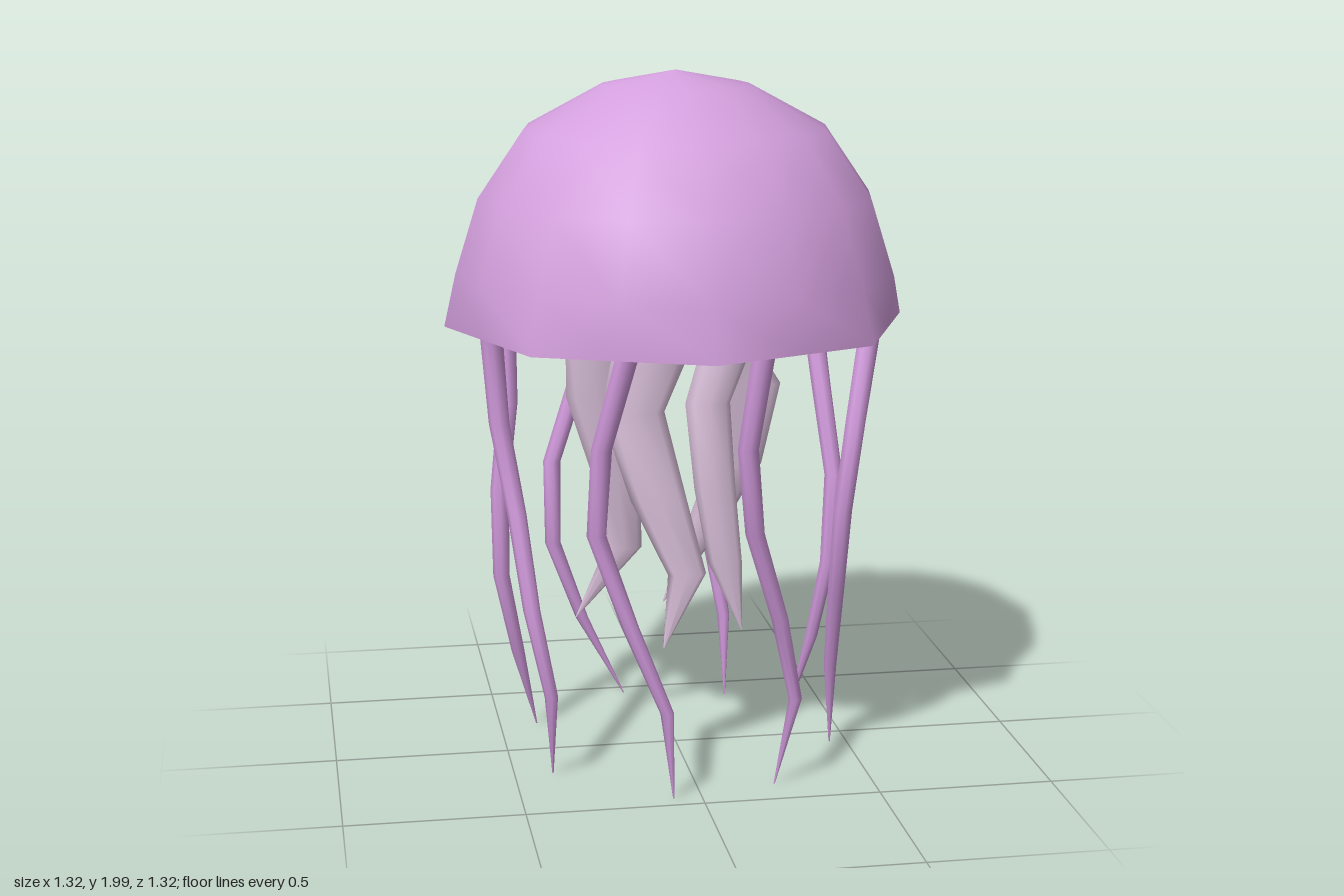
import * as THREE from 'three';

// Smooth skin over rings listed from top to bottom: [y, x, z, rx, rz]
function loft(rings, sides, cap = false, scale = () => 1) {
  const pos = [], idx = [];
  const addRing = ([y, x, z, rx, rz], i) => {
    for (let j = 0; j < sides; j++) {
      const t = (j / sides) * Math.PI * 2, k = scale(i, j);
      pos.push(x + Math.cos(t) * rx * k, y, z + Math.sin(t) * rz * k);
    }
  };
  rings.forEach(addRing);
  for (let i = 0; i < rings.length - 1; i++) {
    for (let j = 0; j < sides; j++) {
      const n = (j + 1) % sides;
      const a = i * sides + j, b = i * sides + n, c = a + sides, d = b + sides;
      idx.push(a, b, c, b, d, c);
    }
  }
  if (cap) {
    const start = rings.length * sides;
    addRing(rings[0], 0);
    pos.push(rings[0][1], rings[0][0], rings[0][2]);
    for (let j = 0; j < sides; j++) idx.push(start + sides, start + (j + 1) % sides, start + j);
  }
  const g = new THREE.BufferGeometry();
  g.setAttribute('position', new THREE.Float32BufferAttribute(pos, 3));
  g.setIndex(idx);
  g.computeVertexNormals();
  return g;
}

export function createModel() {
  const model = new THREE.Group();
  const material = (name, color, side = THREE.FrontSide) => {
    const m = new THREE.MeshStandardMaterial({ color, side });
    m.name = name;
    return m;
  };
  const bellMat = material('orchid', 0xd4a0de, THREE.DoubleSide);
  const tentacleMat = material('deep orchid', 0xcf98da);
  const fleshMat = material('pale pink', 0xdcc2dc, THREE.DoubleSide);
  const add = (name, geometry, mat, parent = model) => {
    const mesh = new THREE.Mesh(geometry, mat);
    mesh.name = name;
    parent.add(mesh);
  };

  // Open bell: sixteen sides that end in an eight-sided rim
  const bell = [[2, 0.001], [1.96, 0.21], [1.84, 0.43], [1.65, 0.56], [1.44, 0.626], [1.29, 0.66]];
  add('bell', loft(bell.map(([y, r]) => [y, 0, 0, r, r]), 16, false,
    (i, j) => (i === 5 && j % 2 ? Math.cos(Math.PI / 8) : 1)), bellMat);

  // Body inside the bell
  const core = [[1.78, 0.001], [1.72, 0.2], [1.55, 0.35], [1.35, 0.39], [1.3, 0.3], [1.29, 0.001]];
  add('innerBody', loft(core.map(([y, r]) => [y, 0, 0, r, r]), 8), fleshMat);

  // Flat, wavy arms hanging from the body: x, z, half width at each level
  const armY = [1.31, 1.06, 0.81, 0.59, 0.38];
  const armDepth = [0.038, 0.035, 0.029, 0.021, 0.002];
  const arms = [
    { x: [-0.07, -0.15, -0.08, 0.0, -0.07], z: [0.16, 0.17, 0.19, 0.2, 0.22], w: [0.12, 0.09, 0.08, 0.055, 0.002] },
    { x: [0.17, 0.08, 0.1, 0.13, 0.18], z: [0.06, 0.08, 0.09, 0.09, 0.09], w: [0.08, 0.065, 0.06, 0.05, 0.002] },
    { x: [-0.22, -0.23, -0.16, -0.14, -0.28], z: [-0.05, -0.06, -0.08, -0.1, -0.11], w: [0.09, 0.08, 0.07, 0.055, 0.002] },
    { x: [0.08, 0.25, 0.21, 0.11, 0.0], z: [-0.13, -0.15, -0.18, -0.2, -0.22], w: [0.1, 0.09, 0.08, 0.055, 0.002] },
  ];
  const armGroup = new THREE.Group();
  armGroup.name = 'oralArms';
  model.add(armGroup);
  arms.forEach(({ x, z, w }, n) => add(`oralArm${n + 1}`,
    loft(armY.map((y, i) => [y, x[i], z[i], w[i], armDepth[i]]), 8, true), fleshMat, armGroup));

  // Eight thin tentacles around the rim
  const levels = [1.3, 1.03, 0.78, 0.52, 0.27, 0.015];
  const radii = [0.032, 0.029, 0.027, 0.024, 0.019, 0.002];
  const tentacles = [
    { x: [-0.21, -0.28, -0.29, -0.2, -0.1, -0.08], z: [0.5, 0.47, 0.43, 0.44, 0.46, 0.45] },
    { x: [0.15, 0.11, 0.14, 0.22, 0.275, 0.22], z: [0.54, 0.53, 0.48, 0.44, 0.4, 0.385] },
    { x: [0.53, 0.47, 0.43, 0.43, 0.44, 0.45], z: [0.18, 0.26, 0.29, 0.22, 0.12, 0.08] },
    { x: [0.46, 0.48, 0.5, 0.48, 0.44, 0.39], z: [-0.31, -0.22, -0.13, -0.1, -0.14, -0.22] },
    { x: [0.31, 0.23, 0.18, 0.18, 0.22, 0.22], z: [-0.54, -0.54, -0.49, -0.45, -0.41, -0.385] },
    { x: [-0.15, -0.22, -0.31, -0.31, -0.22, -0.09], z: [-0.49, -0.48, -0.43, -0.43, -0.45, -0.45] },
    { x: [-0.47, -0.47, -0.5, -0.5, -0.45, -0.39], z: [-0.2, -0.15, -0.12, -0.11, -0.15, -0.22] },
    { x: [-0.54, -0.52, -0.48, -0.45, -0.4, -0.39], z: [0.12, 0.11, 0.17, 0.25, 0.27, 0.2] },
  ];
  const tentacleGroup = new THREE.Group();
  tentacleGroup.name = 'tentacles';
  model.add(tentacleGroup);
  tentacles.forEach(({ x, z }, n) => add(`tentacle${n + 1}`,
    loft(levels.map((y, i) => [y, x[i], z[i], radii[i], radii[i]]), 8, true), tentacleMat, tentacleGroup));

  return model;
}
